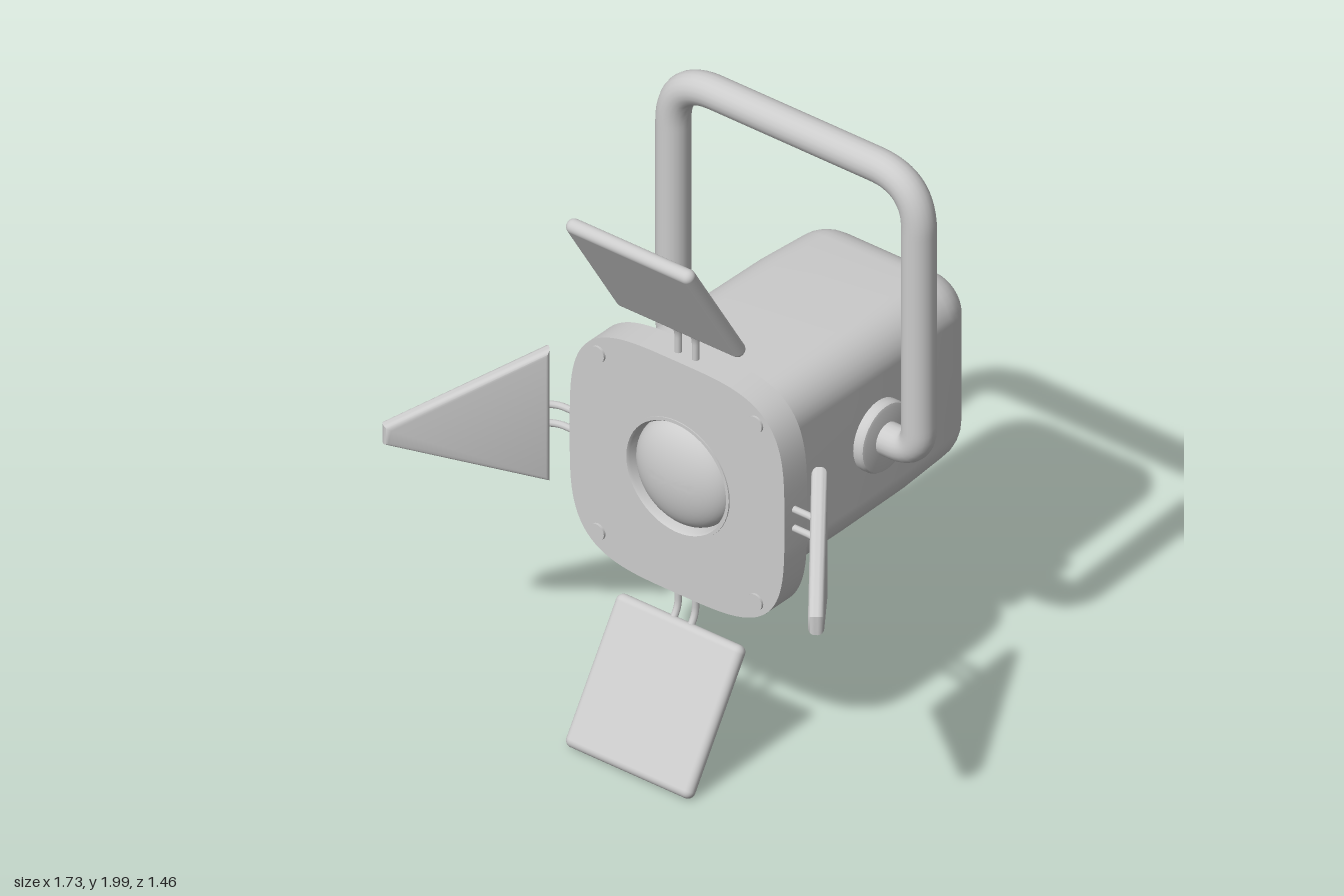
import * as THREE from 'three';
import { toCreasedNormals } from 'three/addons/utils/BufferGeometryUtils.js';
import { RoundedBoxGeometry } from 'three/addons/geometries/RoundedBoxGeometry.js';

const CY = 0.965; // height of the lamp axis
const grey = new THREE.MeshStandardMaterial({ color: 0xcccccc });
const greyDouble = new THREE.MeshStandardMaterial({ color: 0xcccccc, side: THREE.DoubleSide });

function add(parent, name, geometry, x = 0, y = 0, z = 0, material = grey) {
  const mesh = new THREE.Mesh(geometry, material);
  mesh.name = name;
  mesh.position.set(x, y, z);
  parent.add(mesh);
  return mesh;
}

// Tube through corner points, each inner corner rounded by the given distance
function bentTube(points, bend, radius, segments, sides) {
  const p = points.map((a) => new THREE.Vector3(...a));
  const path = new THREE.CurvePath();
  let from = p[0];
  for (let i = 1; i < p.length - 1; i++) {
    const toward = (q) => p[i].clone().add(q.clone().sub(p[i]).setLength(bend[i - 1]));
    const a = toward(p[i - 1]), b = toward(p[i + 1]);
    path.add(new THREE.LineCurve3(from, a));
    path.add(new THREE.QuadraticBezierCurve3(a, p[i], b));
    from = b;
  }
  path.add(new THREE.LineCurve3(from, p[p.length - 1]));
  return new THREE.TubeGeometry(path, segments, radius, sides);
}

// Housing: rounded rectangles lofted along z, closed at the rounded back
function housingGeometry() {
  const rings = [[0.25, 0], [-0.1, 0], [-0.4, 0.003], [-0.59, 0.013]];
  for (let i = 1; i <= 8; i++) {
    const a = (i / 8) * Math.PI / 2;
    rings.push([-0.59 - 0.135 * Math.sin(a), 0.013 + 0.115 * (1 - Math.cos(a))]);
  }
  const pos = [], index = [], perCorner = 9, n = perCorner * 4;
  for (const [z, inset] of rings) {
    const r = Math.max(0.13 - inset * 0.6, 0.03);
    for (let c = 0; c < 4; c++) {
      const sx = c === 0 || c === 3 ? 1 : -1, sy = c < 2 ? 1 : -1;
      for (let k = 0; k < perCorner; k++) {
        const a = (c + k / (perCorner - 1)) * Math.PI / 2;
        pos.push(sx * (0.322 - inset - r) + r * Math.cos(a), sy * (0.34 - inset - r) + r * Math.sin(a), z);
      }
    }
  }
  for (let j = 0; j < rings.length - 1; j++) {
    for (let i = 0; i < n; i++) {
      const a = j * n + i, b = j * n + (i + 1) % n;
      index.push(a, a + n, b, b, a + n, b + n);
    }
  }
  const last = (rings.length - 1) * n;
  pos.push(0, 0, -0.733);
  for (let i = 0; i < n; i++) index.push(last + i, last + n, last + (i + 1) % n);
  const g = new THREE.BufferGeometry();
  g.setAttribute('position', new THREE.Float32BufferAttribute(pos, 3));
  g.setIndex(index);
  g.computeVertexNormals();
  return g;
}

// Front plate: squarish superellipse with a round lens opening
function plateGeometry() {
  const pts = [];
  for (let i = 0; i < 96; i++) {
    const a = (i / 96) * Math.PI * 2, e = 2 / 3.7;
    const f = (v) => 0.422 * Math.sign(v) * Math.abs(v) ** e;
    pts.push(new THREE.Vector2(f(Math.cos(a)), f(Math.sin(a))));
  }
  const shape = new THREE.Shape(pts);
  shape.holes.push(new THREE.Path().absarc(0, 0, 0.205, 0, Math.PI * 2, true));
  const g = new THREE.ExtrudeGeometry(shape, { depth: 0.11, bevelEnabled: false, curveSegments: 24 });
  return toCreasedNormals(g, 0.6);
}

// Tapered side flap with softened edges
function taperedFlapGeometry() {
  const b = 0.02;
  const shape = new THREE.Shape([[-0.217, -0.242], [0.217, -0.242], [0.02, 0.242], [-0.02, 0.242]]
    .map(([x, y]) => new THREE.Vector2(x, y)));
  const g = new THREE.ExtrudeGeometry(shape, {
    depth: 0.01, bevelThickness: b, bevelSize: b, bevelSegments: 4,
  });
  g.translate(0, 0, -0.005);
  return toCreasedNormals(g, 0.7);
}

function lathe(points, segments) {
  const g = new THREE.LatheGeometry(points.map(([r, y]) => new THREE.Vector2(r, y)), segments);
  return toCreasedNormals(g, 0.6);
}

export function createModel() {
  const model = new THREE.Group();
  model.name = 'stageLight';

  add(model, 'housing', housingGeometry(), 0, CY, 0);
  add(model, 'frontPlate', plateGeometry(), 0, CY, 0.24);

  // Lens recessed in its rim
  const rim = lathe([[0.207, 0.24], [0.207, 0.354], [0.196, 0.354], [0.19, 0.345], [0.187, 0.29]], 48);
  add(model, 'lensRim', rim.rotateX(Math.PI / 2), 0, CY, 0, greyDouble);
  const domePoints = [];
  for (let i = 0; i <= 12; i++) {
    const a = (i / 12) * Math.PI / 2;
    domePoints.push([0.188 * Math.cos(a), 0.09 * Math.sin(a)]);
  }
  add(model, 'lens', lathe(domePoints, 48).rotateX(Math.PI / 2), 0, CY, 0.3);

  // Corner screws
  for (const sx of [-1, 1]) {
    for (const sy of [-1, 1]) {
      const head = new THREE.CylinderGeometry(0.029, 0.029, 0.03, 20).rotateX(Math.PI / 2);
      add(model, 'screw', head, sx * 0.31, CY + sy * 0.323, 0.343);
    }
  }

  // Yoke and its pivot discs
  const yoke = bentTube([[-0.3, CY, 0], [-0.483, CY, 0], [-0.483, 1.945, 0],
    [0.483, 1.945, 0], [0.483, CY, 0], [0.3, CY, 0]], [0.09, 0.17, 0.17, 0.09], 0.055, 160, 20);
  add(model, 'yoke', yoke, 0, 0, -0.225);
  for (const s of [-1, 1]) {
    const disc = lathe([[0.12, 0], [0.12, 0.03], [0.115, 0.04], [0.105, 0.043], [0, 0.043]], 36);
    add(model, 'pivotDisc', disc, s * 0.315, CY, -0.225).rotation.z = -s * Math.PI / 2;
  }

  // Four flaps, each on a pair of bent rods
  for (let k = 0; k < 4; k++) {
    const side = k % 2 === 1;
    const door = new THREE.Group();
    door.name = ['topDoor', 'leftDoor', 'bottomDoor', 'rightDoor'][k];
    door.position.y = CY;
    door.rotation.z = -k * Math.PI / 2;
    const flap = side
      ? add(door, 'flap', taperedFlapGeometry(), 0, 0.69, 0.518)
      : add(door, 'flap', new RoundedBoxGeometry(0.495, 0.5, 0.05, 4, 0.024), 0, 0.743, 0.453);
    flap.rotation.x = THREE.MathUtils.degToRad(side ? 52 : 32);
    for (const s of [-1, 1]) {
      const rod = bentTube([[0, 0.39, 0.302], [0, 0.505, 0.302], [0, 0.555, 0.338]], [0.03], 0.012, 16, 10);
      add(door, 'rod', rod, s * 0.034, 0, 0);
    }
    model.add(door);
  }
  return model;
}
